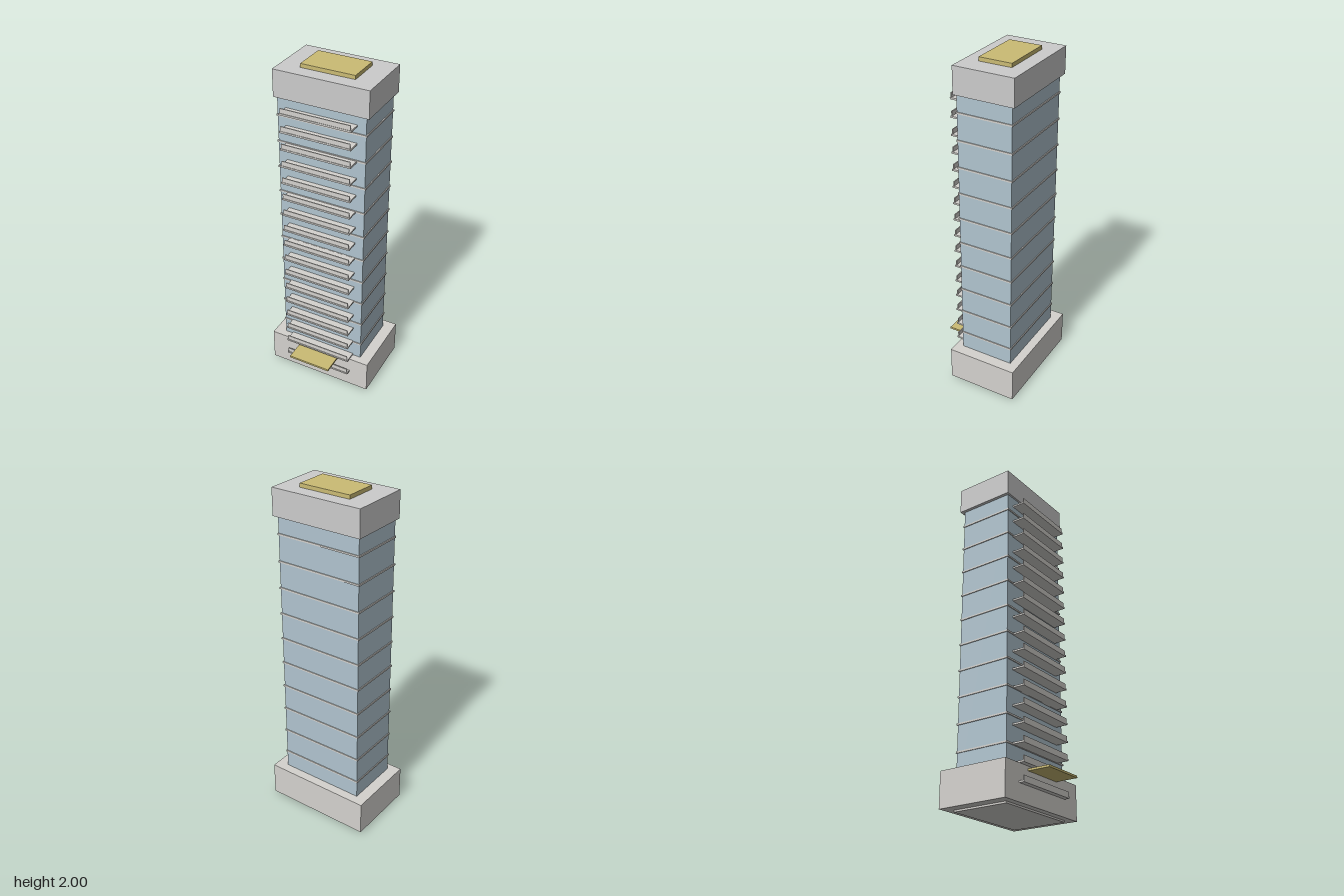
import * as THREE from 'three';

const material = (color) => new THREE.MeshStandardMaterial({ color });

export function createModel() {
  const tower = new THREE.Group();
  tower.name = 'tower';

  const stone = material(0xd4d2ce);
  const concrete = material(0xcfced2);
  const glass = material(0xb0c4cf);
  const brass = material(0xcabb74);

  // Box given by its extents along x (half width), y and z
  function block(name, mat, halfX, [y0, y1], [z0, z1], parent = tower) {
    const mesh = new THREE.Mesh(new THREE.BoxGeometry(halfX * 2, y1 - y0, z1 - z0), mat);
    mesh.position.set(0, (y0 + y1) / 2, (z0 + z1) / 2);
    mesh.name = name;
    parent.add(mesh);
    return mesh;
  }

  // Main masses
  block('podium', stone, 0.325, [0.01, 0.211], [-0.277, 0.144]);
  block('glassShaft', glass, 0.258, [0.005, 1.83], [-0.224, 0.1]);
  block('crown', concrete, 0.276, [1.823, 1.978], [-0.245, 0.111]);
  block('roofPlate', brass, 0.157, [1.978, 2], [-0.163, 0.029]);
  block('entranceCanopy', brass, 0.13, [0.186, 0.198], [0.13, 0.275]);

  // Thin floor bands around the shaft
  const bands = new THREE.Group();
  bands.name = 'floorBands';
  tower.add(bands);
  for (let i = 0; i < 12; i++) {
    const y = i * 0.156;
    block('floorBand', stone, 0.263, [y, y + 0.01], [-0.229, 0.105], bands);
  }

  // Front balconies: a slab with an upright rail along its outer edge
  for (let i = 0; i < 17; i++) {
    const balcony = new THREE.Group();
    balcony.name = 'balcony';
    balcony.position.y = 0.108 + i * 0.1034;
    block('balconySlab', stone, 0.208, [0, 0.01], [0.09, 0.174], balcony);
    block('balconyRail', stone, 0.203, [0.01, 0.037], [0.165, 0.171], balcony);
    tower.add(balcony);
  }

  return tower;
}
